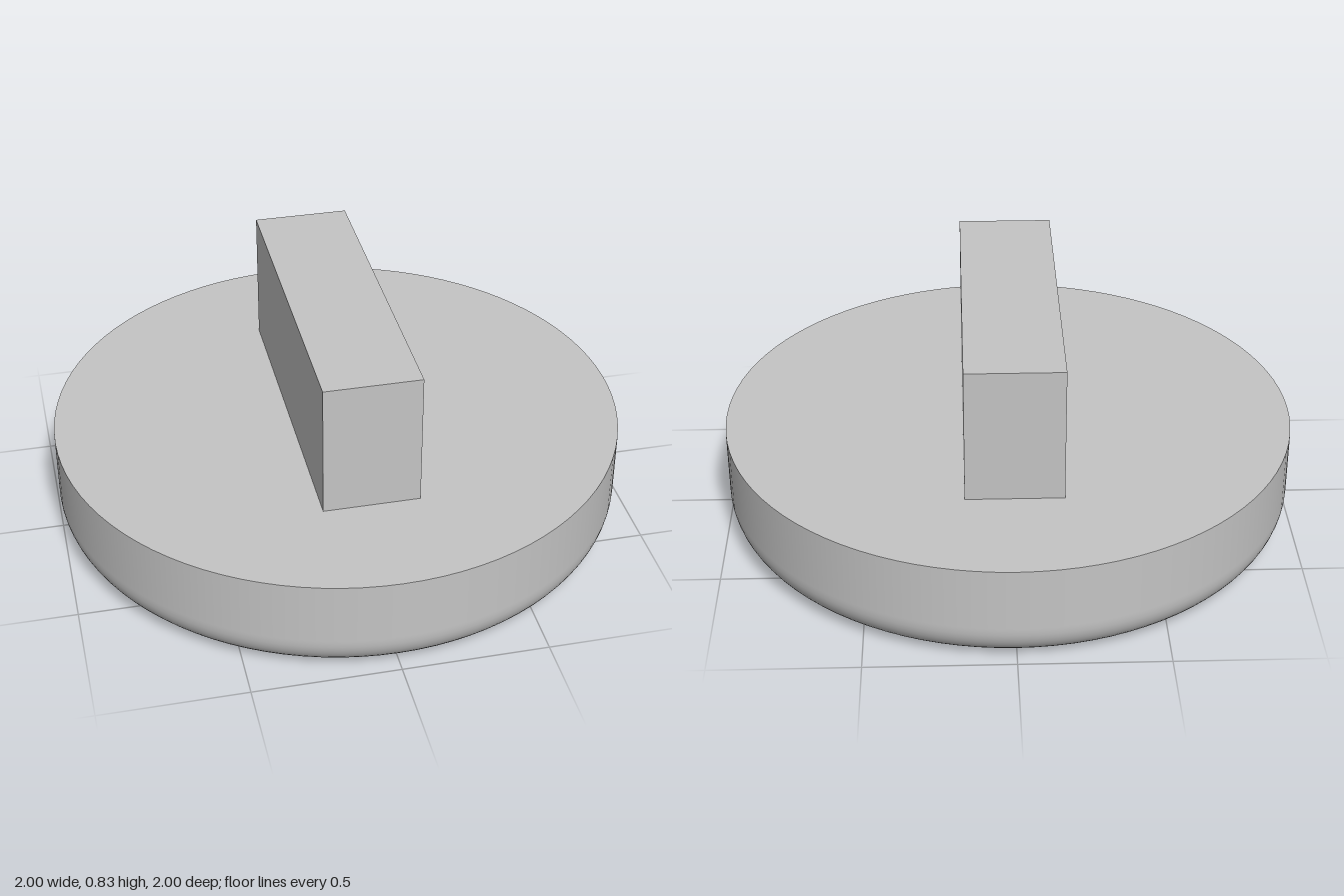
import * as THREE from 'three';

export function createModel() {
  const group = new THREE.Group();
  const grey = new THREE.MeshStandardMaterial({ color: 0xc4c4c4 });
  grey.name = 'plain grey';

  const add = (name, geometry, x, y, z) => {
    const mesh = new THREE.Mesh(geometry, grey);
    mesh.name = name;
    mesh.position.set(x, y, z);
    group.add(mesh);
    return mesh;
  };

  const radius = 1, height = 0.36, fillet = 0.13, segments = 96;

  // Disc wall and underside, with a rounded lower rim
  const profile = [new THREE.Vector2(0, 0), new THREE.Vector2(radius - fillet - 0.01, 0)];
  const steps = 12;
  for (let i = 0; i <= steps; i++) {
    const a = (i / steps) * Math.PI / 2;
    profile.push(new THREE.Vector2(
      radius - fillet + fillet * Math.sin(a),
      fillet - fillet * Math.cos(a)
    ));
  }
  profile.push(new THREE.Vector2(radius, fillet + 0.01), new THREE.Vector2(radius, height));
  add('discBody', new THREE.LatheGeometry(profile, segments), 0, 0, 0);

  // Flat top of the disc, meeting the wall at a sharp edge
  const top = add('discTop', new THREE.CircleGeometry(radius, segments), 0, height, 0);
  top.rotation.x = -Math.PI / 2;

  // Upright grip bar
  const barHeight = 0.835 - height;
  add('gripBar', new THREE.BoxGeometry(0.333, barHeight, 1.16), -0.005, height + barHeight / 2, 0);

  return group;
}
